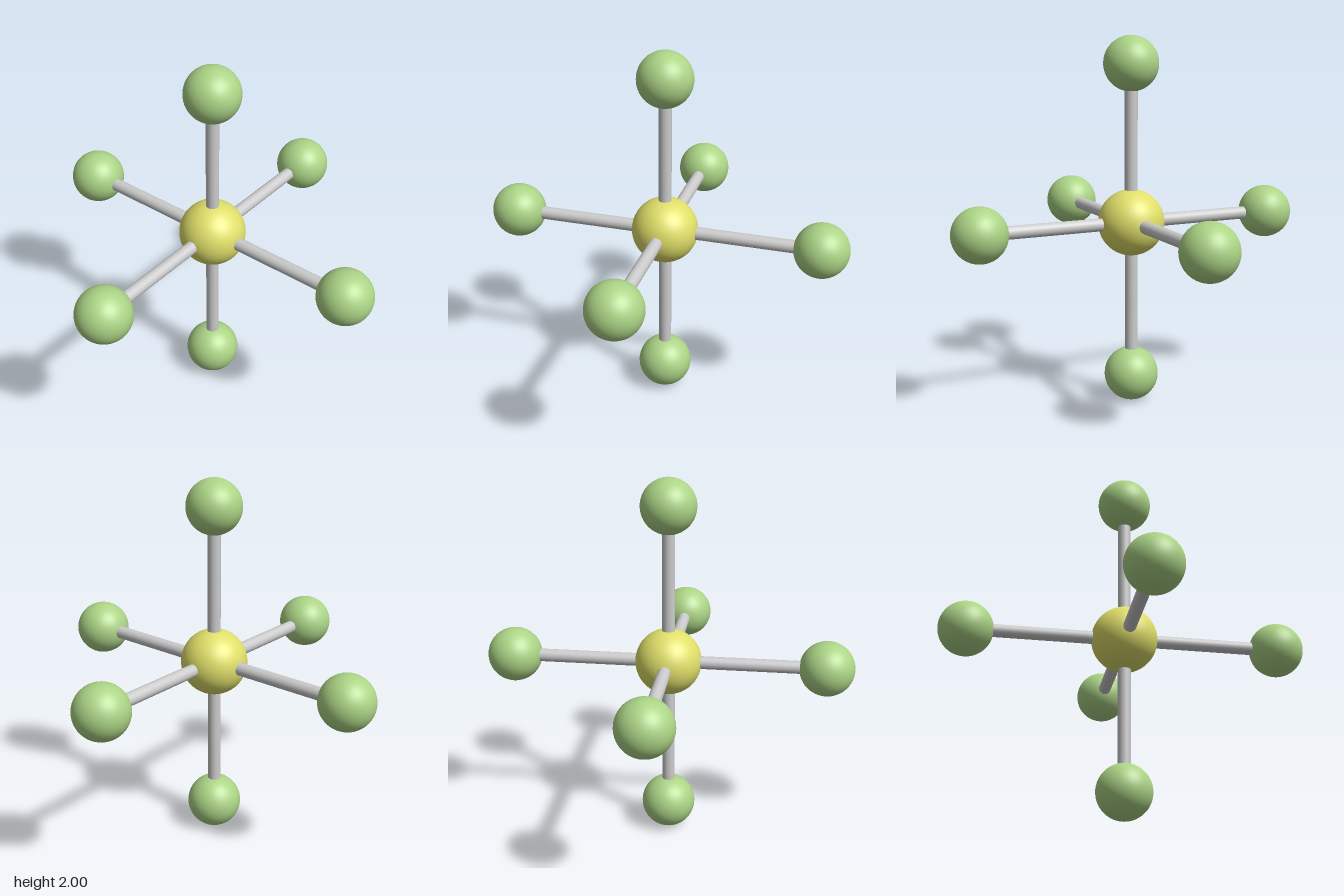
import * as THREE from 'three';

const CORE_RADIUS = 0.18;
const OUTER_RADIUS = 0.148;
const ROD_RADIUS = 0.035;
const REACH = 1 - OUTER_RADIUS; // distance from the core to each outer ball

export function createModel() {
  const model = new THREE.Group();
  model.name = 'octahedralMolecule';

  const yellow = new THREE.MeshStandardMaterial({ color: 0xe0df6a });
  const green = new THREE.MeshStandardMaterial({ color: 0xacd486 });
  const grey = new THREE.MeshStandardMaterial({ color: 0xcccccc });

  // Central ball
  const core = new THREE.Mesh(new THREE.SphereGeometry(CORE_RADIUS, 48, 32), yellow);
  core.name = 'centralAtom';
  core.position.y = 1;
  model.add(core);

  // Rod and outer ball, built along +y and turned to each axis direction
  const rodGeometry = new THREE.CylinderGeometry(ROD_RADIUS, ROD_RADIUS, REACH, 24);
  rodGeometry.translate(0, REACH / 2, 0);
  const ballGeometry = new THREE.SphereGeometry(OUTER_RADIUS, 48, 32);
  ballGeometry.translate(0, REACH, 0);

  const up = new THREE.Vector3(0, 1, 0);
  const directions = {
    top: [0, 1, 0], bottom: [0, -1, 0],
    left: [1, 0, 0], right: [-1, 0, 0],
    front: [0, 0, 1], back: [0, 0, -1],
  };

  for (const [side, direction] of Object.entries(directions)) {
    const arm = new THREE.Group();
    arm.name = `${side}Arm`;
    const rod = new THREE.Mesh(rodGeometry, grey);
    rod.name = `${side}Bond`;
    const ball = new THREE.Mesh(ballGeometry, green);
    ball.name = `${side}Atom`;
    arm.add(rod, ball);
    arm.position.y = 1;
    arm.quaternion.setFromUnitVectors(up, new THREE.Vector3(...direction));
    model.add(arm);
  }

  return model;
}
